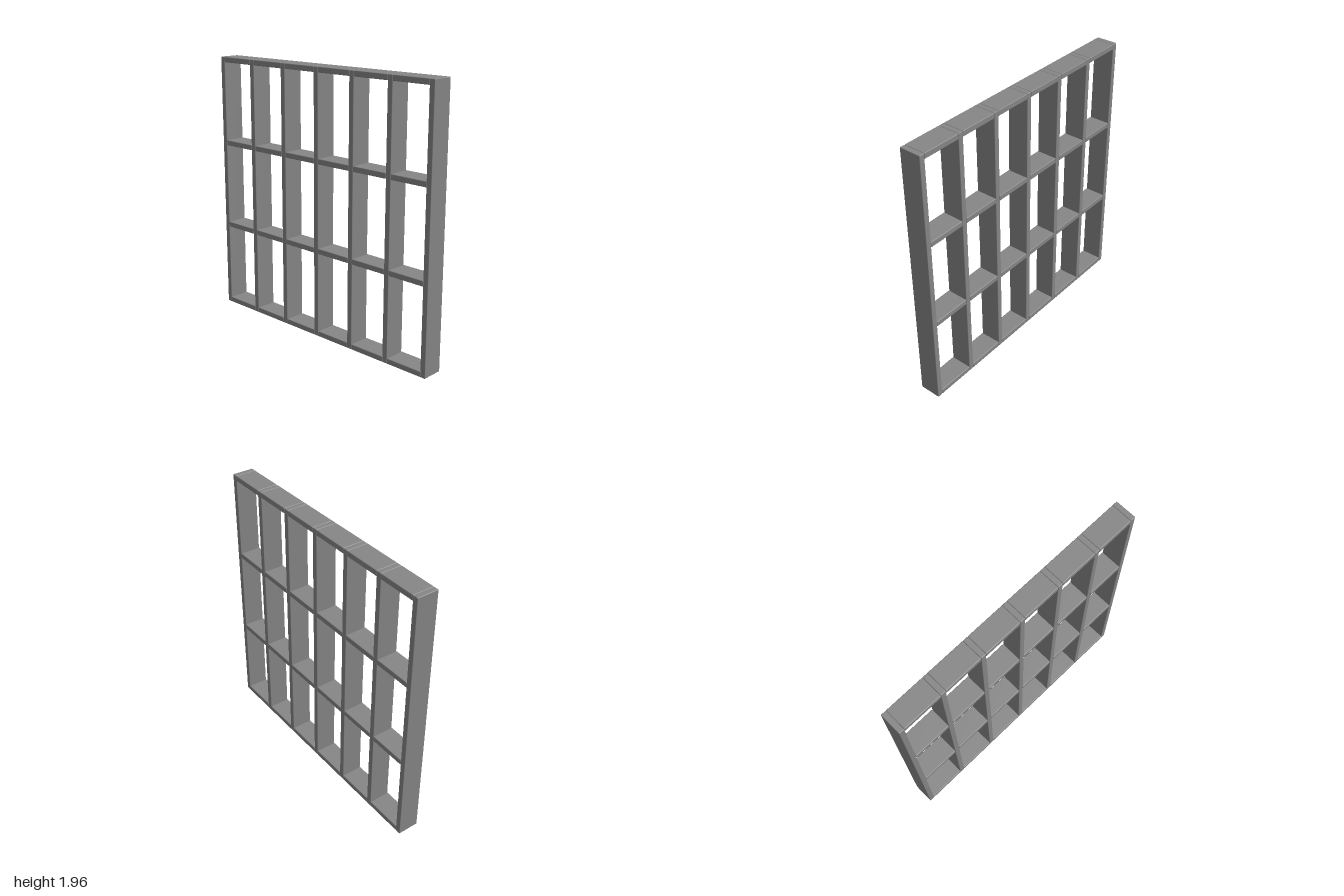
import * as THREE from 'three';
import { RoundedBoxGeometry } from 'three/addons/geometries/RoundedBoxGeometry.js';

const BAYS = 6, ROWS = 3;
const WIDTH = 2, HEIGHT = 1.96, DEPTH = 0.16, THICK = 0.04, EDGE = 0.005;

export function createModel() {
  const model = new THREE.Group();
  model.name = 'openShelving';
  const material = new THREE.MeshStandardMaterial({ color: 0x868686 });

  const pitch = (WIDTH - THICK) / BAYS;
  const uprightGeometry = new RoundedBoxGeometry(THICK, HEIGHT, DEPTH, 2, EDGE);
  const shelfGeometry = new RoundedBoxGeometry(pitch - THICK, THICK, DEPTH, 2, EDGE);

  function addBoard(name, geometry, x, y) {
    const board = new THREE.Mesh(geometry, material);
    board.name = name;
    board.position.set(x, y, 0);
    model.add(board);
  }

  // Full-height uprights
  for (let i = 0; i <= BAYS; i++) {
    addBoard(`upright${i + 1}`, uprightGeometry, (i - BAYS / 2) * pitch, HEIGHT / 2);
  }

  // Short shelves between uprights: thirds of the height, with top and bottom rows flush
  for (let row = 0; row <= ROWS; row++) {
    const y = THREE.MathUtils.clamp(HEIGHT * row / ROWS, THICK / 2, HEIGHT - THICK / 2);
    for (let bay = 0; bay < BAYS; bay++) {
      const x = (bay + 0.5 - BAYS / 2) * pitch;
      addBoard(`shelfRow${row + 1}Bay${bay + 1}`, shelfGeometry, x, y);
    }
  }

  return model;
}
